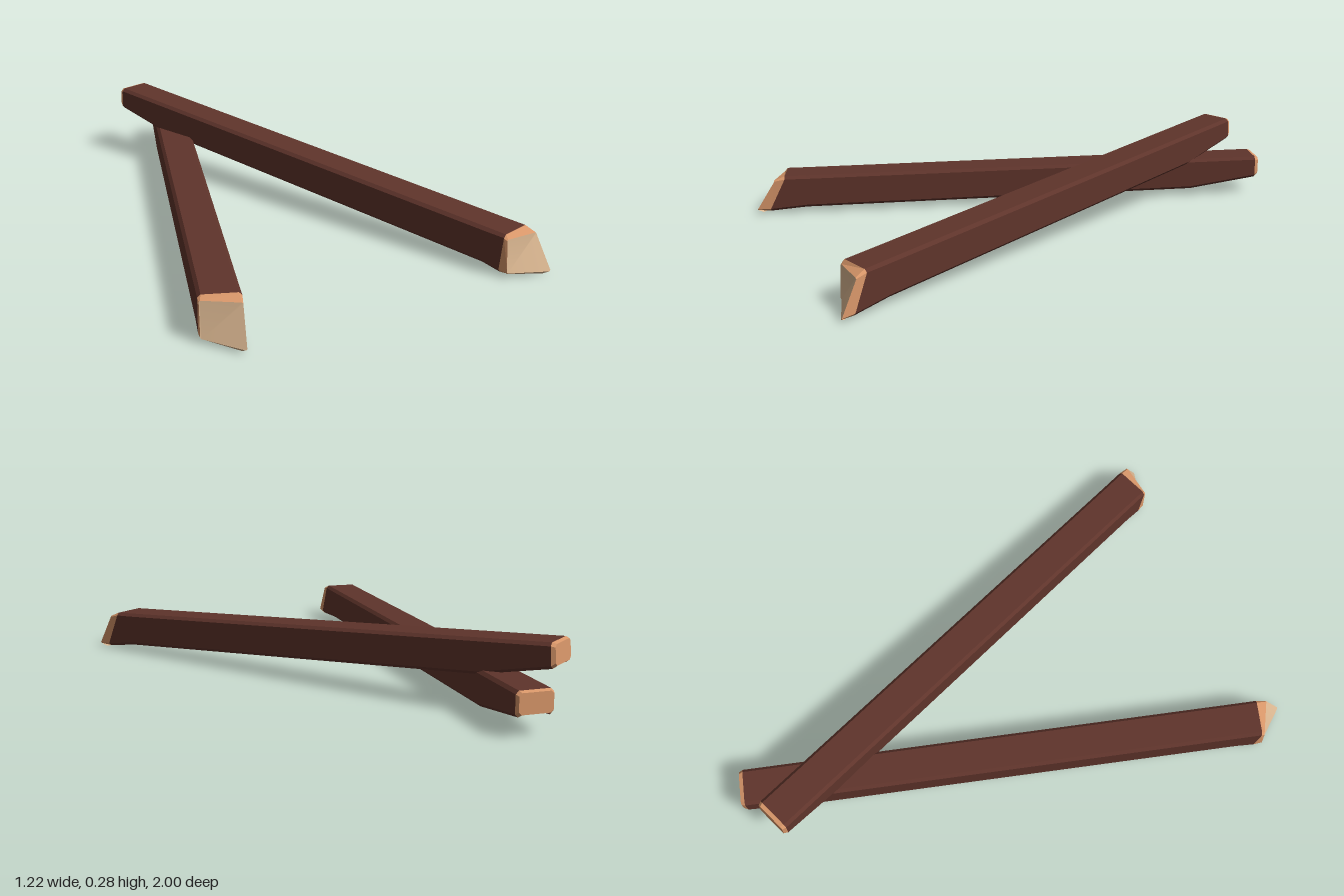
import * as THREE from 'three';
import { mergeVertices } from 'three/addons/utils/BufferGeometryUtils.js';

// The sticks are hollow and open underneath, so both sides show
function makeMaterial(name, color) {
  const m = new THREE.MeshStandardMaterial({ color, side: THREE.DoubleSide });
  m.name = name;
  return m;
}
const brown = makeMaterial('brown bark', 0x5f342b);
const orange = makeMaterial('orange cut edge', 0xd9976a);
const pale = makeMaterial('pale cut wood', 0xdcb892);

// Bevelled rectangle; zs gives z at bottom left, bottom right, top right, top left
function section(w, bottom, top, c, zs) {
  const [bl, br, tr, tl] = zs;
  return [
    [-w + c, bottom, bl], [w - c, bottom, br],
    [w, bottom + c, br], [w, top - c, tr],
    [w - c, top, tr], [-w + c, top, tl],
    [-w, top - c, tl], [-w, bottom + c, bl],
  ];
}

// Wall quads between consecutive sections, leaving the underside (edge 0) open
function walls(sections) {
  const out = [];
  for (let s = 0; s + 1 < sections.length; s++) {
    const a = sections[s], b = sections[s + 1];
    for (let i = 1; i < 8; i++) {
      const j = (i + 1) % 8;
      out.push(a[i], a[j], b[j], a[i], b[j], b[i]);
    }
  }
  return out;
}

// End polygon as a fan
function endFace(s, back = false) {
  const out = [];
  for (let i = 1; i < 7; i++) out.push(...(back ? [s[0], s[i + 1], s[i]] : [s[0], s[i], s[i + 1]]));
  return out;
}

function part(name, corners, material, smooth = false) {
  let g = new THREE.BufferGeometry();
  g.setAttribute('position', new THREE.Float32BufferAttribute(corners.flat(), 3));
  if (smooth) g = mergeVertices(g);
  g.computeVertexNormals();
  const mesh = new THREE.Mesh(g, material);
  mesh.name = name;
  return mesh;
}

function makeStick(name) {
  const flat = (z) => [z, z, z, z];
  // Cross-sections from the back end to the slanted front cut
  const backEnd = section(0.06, 0.072, 0.143, 0.01, flat(-1.94));
  const backRim = section(0.066, 0.062, 0.148, 0.011, flat(-1.926));
  const undercut = section(0.066, 0.024, 0.148, 0.011, flat(-1.66));
  const nearFront = section(0.066, 0.02, 0.148, 0.011, flat(-0.12));
  const frontRim = section(0.066, 0.01, 0.148, 0.01, [-0.05, 0.02, -0.04, -0.045]);
  const frontEnd = section(0.063, 0.016, 0.134, 0.004, [-0.018, 0.07, 0, -0.033]);

  // Narrow lip folded under the front cut
  const [endLeft, endRight] = frontEnd;
  const lipLeft = [-0.056, 0.004, -0.04];
  const lipRight = [0.05, 0.004, 0.05];
  const lip = [lipLeft, lipRight, endRight, lipLeft, endRight, endLeft];

  const stick = new THREE.Group();
  stick.name = name;
  stick.add(
    part('bark', walls([backRim, undercut, nearFront, frontRim]), brown),
    part('backCut', [...walls([backEnd, backRim]), ...endFace(backEnd, true)], orange),
    part('frontRim', walls([frontRim, frontEnd]), orange),
    part('frontCut', endFace(frontEnd), pale, true),
    part('frontLip', lip, pale),
  );
  stick.rotation.order = 'YXZ';
  return stick;
}

export function createModel() {
  const model = new THREE.Group();
  model.name = 'crossedSticks';

  // Stick lying on the ground
  const lower = makeStick('lowerStick');
  lower.position.set(-0.551, 0, 0.919);
  lower.rotation.set(0.003, -0.18, 0);

  // Stick resting on top of the first
  const upper = makeStick('upperStick');
  upper.position.set(0.519, 0, 0.808);
  upper.rotation.set(0.067, 0.481, 0);

  model.add(lower, upper);
  return model;
}
